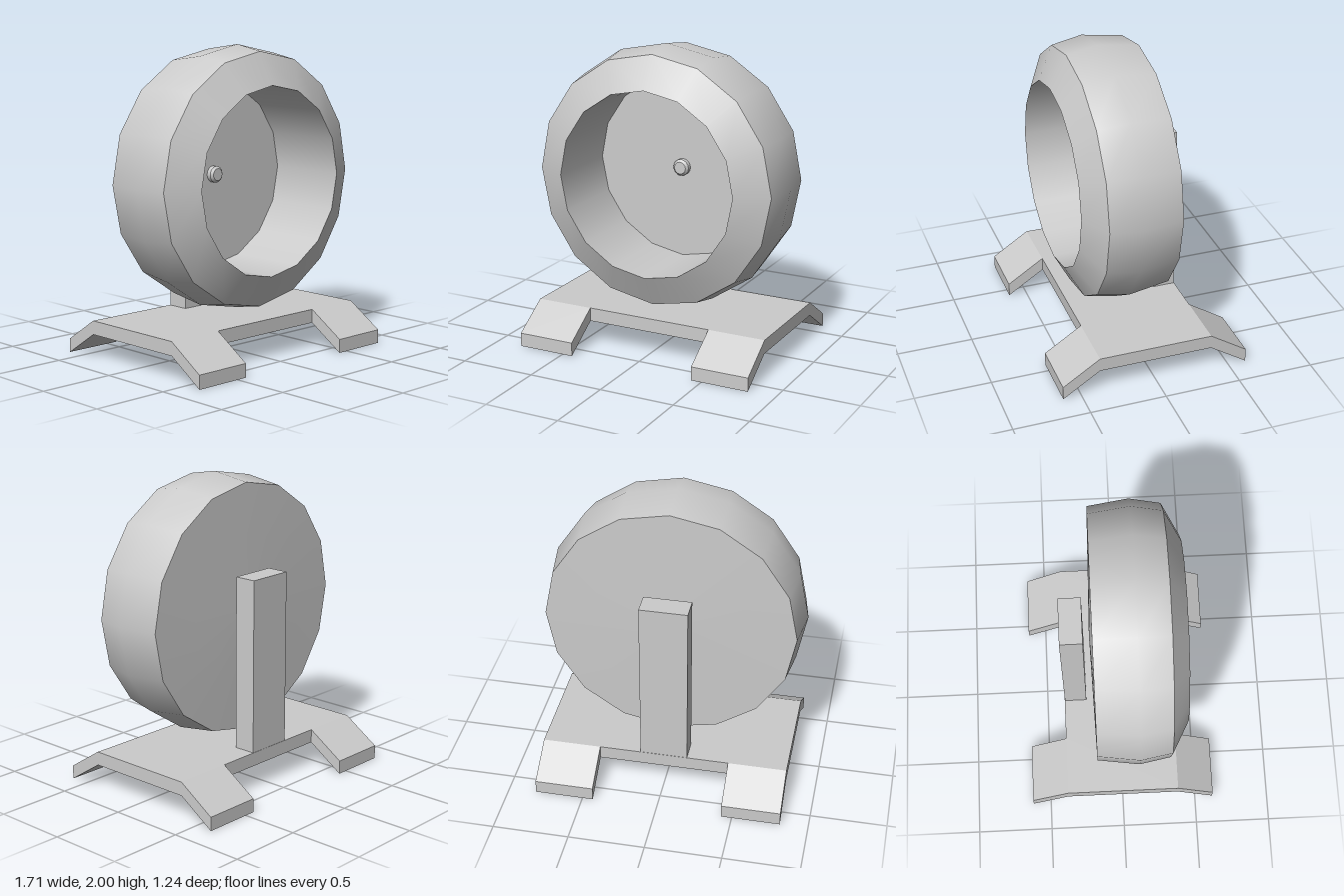
import * as THREE from 'three';

const material = new THREE.MeshStandardMaterial({ color: 0xcccccc });
const WHEEL_Y = 1.145;
const SIDES = 16;

function part(name, geometry, x = 0, y = 0, z = 0) {
  const mesh = new THREE.Mesh(geometry, material);
  mesh.name = name;
  mesh.position.set(x, y, z);
  return mesh;
}

// Surface turned around the z axis from [radius, z] pairs
function turned(name, profile, sides = SIDES) {
  const points = profile.map(([r, z]) => new THREE.Vector2(r, z));
  return part(name, new THREE.LatheGeometry(points, sides).rotateX(Math.PI / 2));
}

// Wheel: each strip is a separate surface so the edges between them stay sharp
function createWheel() {
  const wheel = new THREE.Group();
  wheel.name = 'wheel';
  wheel.position.y = WHEEL_Y;
  wheel.add(
    turned('wheelBack', [[0, -0.185], [0.817, -0.165]]),
    turned('wheelTread', [[0.817, -0.165], [0.855, 0.105], [0.817, 0.31]]),
    turned('wheelFrontBevel', [[0.817, 0.31], [0.608, 0.42]]),
    turned('wheelInnerWall', [[0.608, 0.42], [0.608, -0.12]]),
    turned('wheelInnerDisc', [[0.608, -0.12], [0, -0.12]]),
    turned('hubSide', [[0.055, -0.12], [0.055, -0.09]]),
    turned('hubBevel', [[0.055, -0.09], [0.04, -0.075]]),
    turned('hubCap', [[0.04, -0.075], [0, -0.075]])
  );
  return wheel;
}

// Side section of the stand: flat middle with a sloping foot at each end
function sideGeometry(width) {
  const half = [[0.62, 0], [0.62, 0.09], [0.375, 0.25]];
  const shape = new THREE.Shape([
    ...half,
    ...half.slice().reverse().map(([z, y]) => [-z, y]),
    [-0.375, 0.16],
    [0.375, 0.16]
  ].map(([z, y]) => new THREE.Vector2(z, y)));
  const geometry = new THREE.ExtrudeGeometry(shape, { depth: width, bevelEnabled: false });
  return geometry.translate(0, 0, -width / 2).rotateY(-Math.PI / 2);
}

function createStand() {
  const stand = new THREE.Group();
  stand.name = 'stand';
  for (const side of [1, -1]) {
    stand.add(part(side > 0 ? 'leftFeet' : 'rightFeet', sideGeometry(0.387), side * 0.6235));
  }
  stand.add(
    part('basePlate', new THREE.BoxGeometry(0.86, 0.09, 0.75), 0, 0.205, 0),
    part('post', new THREE.BoxGeometry(0.312, 1.14, 0.148), 0, 0.82, -0.299)
  );
  return stand;
}

export function createModel() {
  const model = new THREE.Group();
  model.name = 'exerciseWheel';
  model.add(createWheel(), createStand());
  return model;
}
